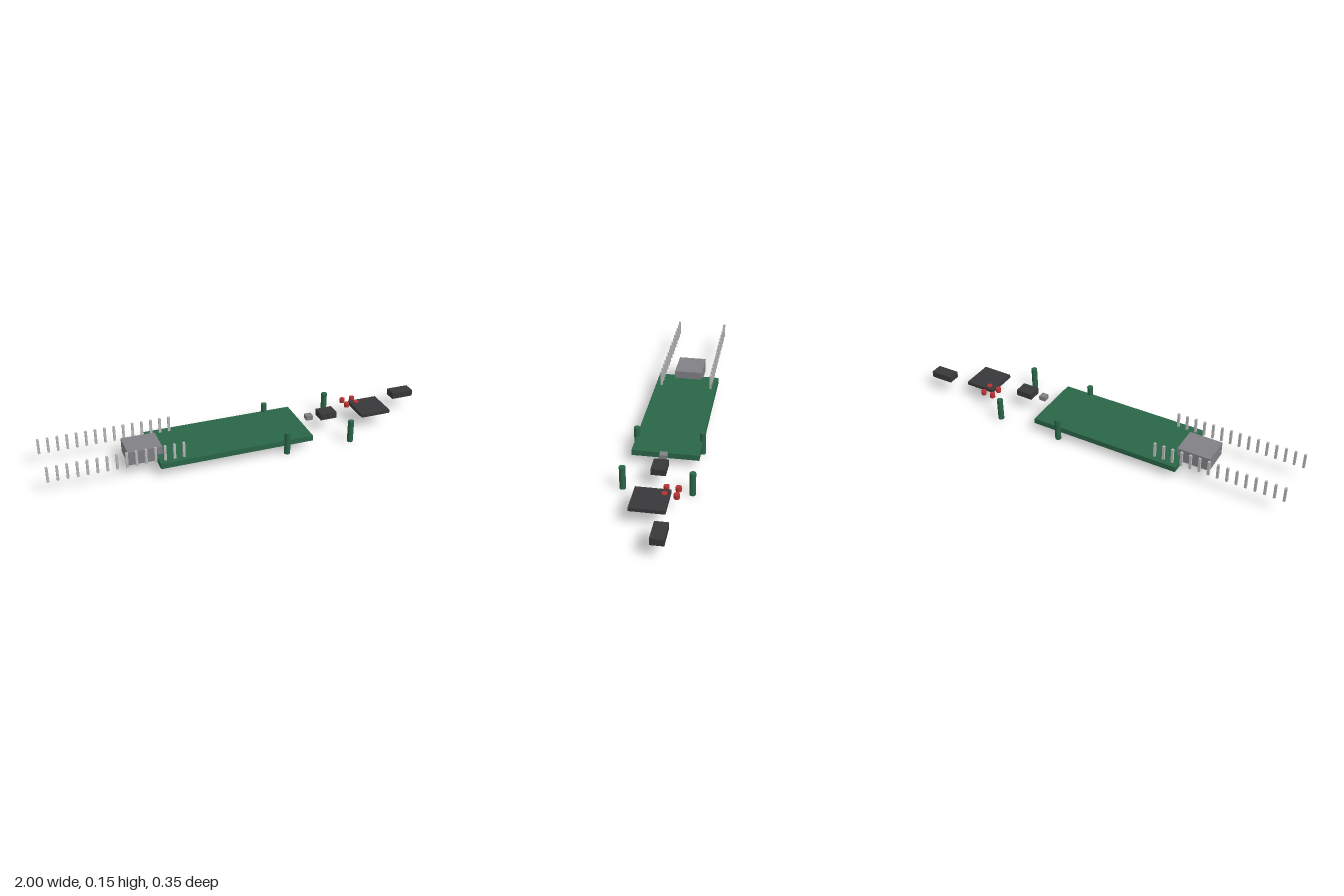
import * as THREE from 'three';

export function createModel() {
  const model = new THREE.Group();
  const mat = (color) => new THREE.MeshStandardMaterial({ color });
  const green = mat(0x2a6548), dark = mat(0x38383a), red = mat(0xb83232);
  const steel = mat(0x808085), pinMetal = mat(0xb8b8b8);
  const deck = 0.073; // top face of the board

  const add = (name, geometry, material, x, y, z) => {
    const mesh = new THREE.Mesh(geometry, material);
    mesh.name = name;
    mesh.position.set(x, y, z);
    model.add(mesh);
  };
  // Box given by its extents along each axis
  const box = (name, material, [x0, x1], [y0, y1], [z0, z1]) =>
    add(name, new THREE.BoxGeometry(x1 - x0, y1 - y0, z1 - z0), material,
      (x0 + x1) / 2, (y0 + y1) / 2, (z0 + z1) / 2);

  // Circuit board and the connector at its end
  box('board', green, [-0.468, 0.318], [0.045, deck], [-0.163, 0.163]);
  box('connector', steel, [-0.605, -0.434], [0.042, 0.113], [-0.073, 0.073]);

  // Components laid out beyond the board
  box('button', steel, [0.347, 0.382], [deck + 0.003, 0.1], [-0.0175, 0.0175]);
  box('smallChip', dark, [0.42, 0.508], [deck, 0.106], [-0.035, 0.035]);
  box('mainChip', dark, [0.631, 0.791], [deck, 0.091], [-0.082, 0.082]);
  box('endChip', dark, [0.882, 1], [deck, 0.106], [-0.113, -0.05]);

  // Mounting posts
  const post = new THREE.CylinderGeometry(0.0152, 0.0152, 0.117, 24);
  for (const x of [0.18, 0.527])
    for (const side of [-1, 1]) add('mountingPost', post, green, x, 0.0585, side * 0.162);

  // Cluster of four round indicators
  const indicator = new THREE.CylinderGeometry(0.0135, 0.0135, 0.023, 24);
  for (const x of [0.611, 0.666])
    for (const z of [-0.111, -0.057]) add('indicator', indicator, red, x, deck + 0.0115, z);

  // Two rows of header pins
  const pin = new THREE.BoxGeometry(0.0115, 0.078, 0.0115);
  for (let i = 0; i < 15; i++)
    for (const side of [-1, 1])
      add('headerPin', pin, pinMetal, -0.994 + i * 0.0464, deck + 0.039, side * 0.133);

  return model;
}
